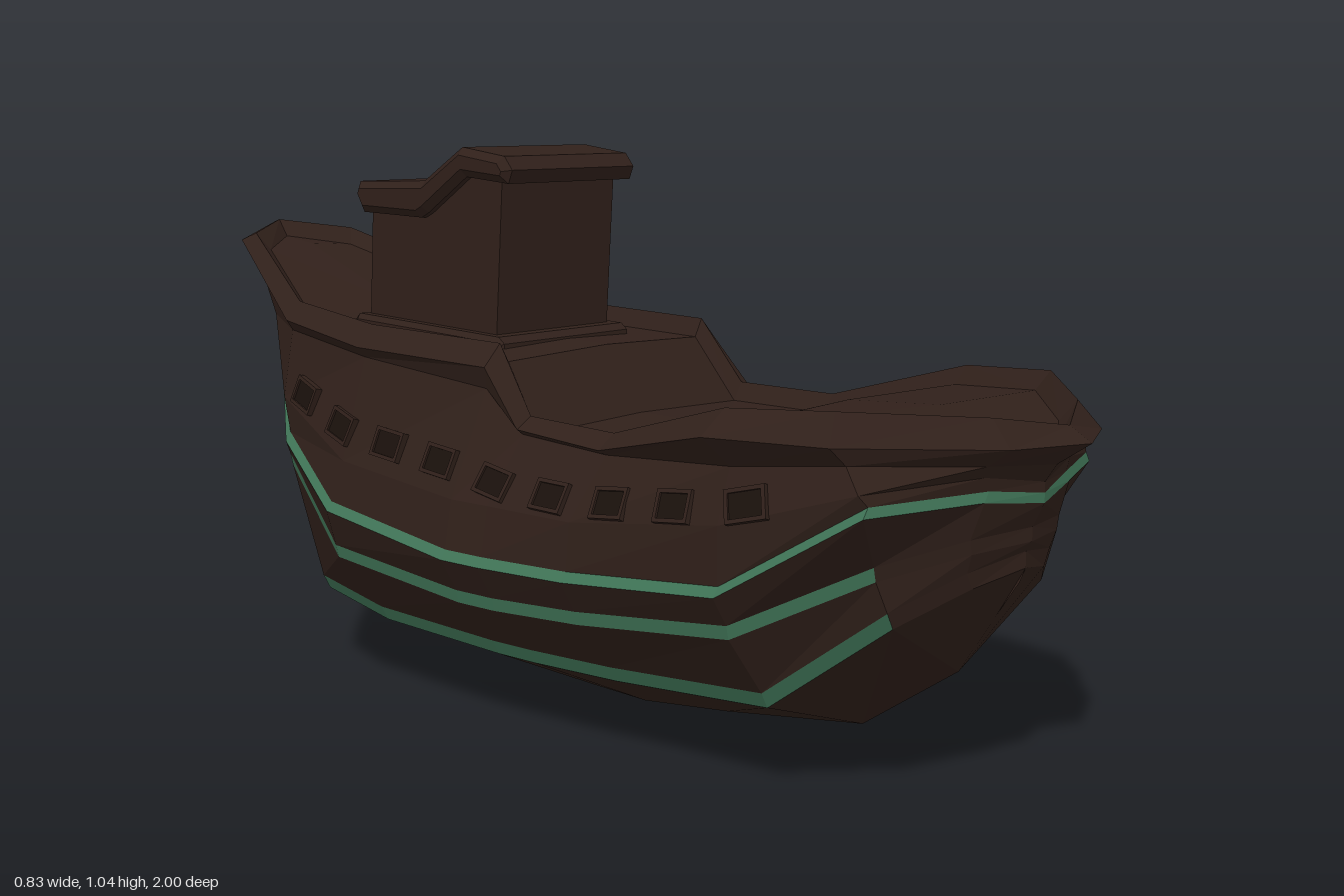
import * as THREE from 'three';

const wood = new THREE.MeshStandardMaterial({ color: 0x30201a, flatShading: true, side: THREE.DoubleSide });
const dark = new THREE.MeshStandardMaterial({ color: 0x1a110c, flatShading: true });
const green = new THREE.MeshStandardMaterial({ color: 0x3f7356, flatShading: true, side: THREE.DoubleSide });

// Long lines of the hull, bow to stern: [z, y, half breadth] at eleven stations
const keel = [[.88, .36, 0], [.84, .3, 0], [.77, .19, 0], [.58, .06, 0], [.28, .02, 0], [.08, 0, 0],
  [-.05, .005, 0], [-.35, .03, 0], [-.59, .07, 0], [-.82, .42, 0], [-.89, .66, 0]];
const chine = [[.89, .385, 0], [.86, .365, .11], [.79, .31, .225], [.58, .15, .27], [.25, .13, .27], [.05, .125, .27],
  [-.04, .125, .27], [-.35, .135, .265], [-.57, .155, .225], [-.73, .37, .13], [-.9, .68, 0]];
const middle = [[.9, .43, 0], [.87, .425, .13], [.78, .39, .26], [.57, .28, .36], [.25, .25, .37], [.05, .24, .37],
  [-.04, .24, .37], [-.38, .27, .36], [-.61, .41, .28], [-.81, .64, .11], [-.91, .71, 0]];
const wale = [[.92, .495, 0], [.89, .51, .13], [.81, .505, .34], [.57, .355, .4], [.25, .33, .41], [.05, .325, .413],
  [-.04, .325, .413], [-.37, .365, .395], [-.58, .465, .32], [-.76, .625, .18], [-.915, .74, 0]];
const belly = [[.92, .53, 0], [.89, .55, .13], [.8, .54, .34], [.57, .47, .39], [.25, .43, .39], [.05, .43, .385],
  [-.04, .43, .385], [-.35, .46, .37], [-.6, .55, .305], [-.79, .69, .17], [-.92, .77, 0]];
const neck = [[.94, .56, 0], [.9, .57, .14], [.77, .58, .33], [.57, .56, .36], [.28, .54, .33], [.07, .55, .315],
  [-.03, .62, .305], [-.35, .65, .31], [-.6, .68, .28], [-.85, .76, .15], [-.93, .79, 0]];
const railOuter = [[1, .6, 0], [.94, .6, .14], [.76, .61, .36], [.55, .61, .41], [.28, .55, .35], [.07, .56, .33],
  [-.02, .66, .32], [-.35, .67, .33], [-.6, .7, .295], [-.93, .835, .145], [-1, .865, 0]];
const railTop = [[.96, .625, 0], [.9, .645, .13], [.74, .66, .32], [.55, .65, .35], [.28, .575, .31], [.07, .58, .295],
  [-.02, .7, .28], [-.35, .71, .29], [-.6, .735, .26], [-.9, .85, .13], [-.985, .87, 0]];

const shift = (line, dy, dx, scale = 1) =>
  line.map(([z, y, x]) => [z * scale, y + dy, x && x + dx]);
const deckEdge = shift(railTop, -.035, -.02, .975);
const deckCentre = deckEdge.map(([z, y, x]) => [z, y + (x ? .008 : 0), 0]);

// Skin between two lines over a range of stations, on both sides of the boat
function strake(name, low, high, material, from = 0, to = 10) {
  const pos = [];
  for (const side of [1, -1]) {
    const put = (...pts) => {
      if (side < 0) pts.reverse();
      pts.forEach(([z, y, x]) => pos.push(side * x, y, z));
    };
    for (let j = from; j < to; j++) {
      put(low[j], low[j + 1], high[j]);
      put(low[j + 1], high[j + 1], high[j]);
    }
  }
  const geo = new THREE.BufferGeometry();
  geo.setAttribute('position', new THREE.Float32BufferAttribute(pos, 3));
  geo.computeVertexNormals();
  const mesh = new THREE.Mesh(geo, material);
  mesh.name = name;
  return mesh;
}

// Solid from a side profile of [z, y] points, centred across the boat
function sideSolid(name, points, width, bevel = 0) {
  const shape = new THREE.Shape(points.map(([z, y]) => new THREE.Vector2(-z, y)));
  const depth = width - 2 * bevel;
  const geo = new THREE.ExtrudeGeometry(shape, {
    depth, bevelEnabled: bevel > 0, bevelSize: bevel, bevelThickness: bevel, bevelOffset: -bevel, bevelSegments: 1,
  });
  geo.translate(0, 0, -depth / 2).rotateY(Math.PI / 2);
  const mesh = new THREE.Mesh(geo, wood);
  mesh.name = name;
  return mesh;
}

// Point on a line at a given z
function pointAt(line, z) {
  let j = 0;
  while (j < line.length - 2 && line[j + 1][0] > z) j++;
  const [a, b] = [line[j], line[j + 1]];
  const t = (z - a[0]) / (b[0] - a[0]);
  return new THREE.Vector3(a[2] + (b[2] - a[2]) * t, a[1] + (b[1] - a[1]) * t, z);
}

function rectangle(PathType, w, h) {
  return new PathType([[-w, -h], [w, -h], [w, h], [-w, h]].map(([x, y]) => new THREE.Vector2(x / 2, y / 2)));
}

// Framed port lying on the upper hull planking
function makePort(z, side) {
  const spot = (at, f) => {
    const p = pointAt(belly, at).lerp(pointAt(neck, at), f);
    p.x *= side;
    return p;
  };
  const along = spot(z - .035 * side, .3).sub(spot(z + .035 * side, .3)).normalize();
  const out = along.clone().cross(spot(z, .8).sub(spot(z, 0))).normalize();
  const up = out.clone().cross(along);
  const port = new THREE.Group();
  port.name = 'port';
  const shape = rectangle(THREE.Shape, .074, .056);
  shape.holes.push(rectangle(THREE.Path, .06, .042));
  const frame = new THREE.Mesh(new THREE.ExtrudeGeometry(shape, { depth: .02, bevelEnabled: false }), wood);
  frame.name = 'portFrame';
  frame.position.z = -.012;
  const pane = new THREE.Mesh(new THREE.BoxGeometry(.062, .044, .012), dark);
  pane.name = 'portOpening';
  pane.position.z = -.002;
  port.add(frame, pane);
  port.quaternion.setFromRotationMatrix(new THREE.Matrix4().makeBasis(along, up, out));
  port.position.copy(spot(z, .28)).addScaledVector(out, .002);
  return port;
}

export function createModel() {
  const boat = new THREE.Group();
  boat.name = 'boat';

  // Hull planking with three painted bands
  const hull = new THREE.Group();
  hull.name = 'hull';
  const chineTop = shift(chine, .028, .016), middleTop = shift(middle, .024, .006), waleTop = shift(wale, .017, -.012);
  hull.add(
    strake('bottom', keel, chine, wood),
    strake('lowerBandBow', chine, chineTop, wood, 0, 2),
    strake('lowerBand', chine, chineTop, green, 2),
    strake('lowerPlanking', chineTop, middle, wood),
    strake('middleBandBow', middle, middleTop, wood, 0, 2),
    strake('middleBand', middle, middleTop, green, 2),
    strake('middlePlanking', middleTop, wale, wood),
    strake('upperBand', wale, waleTop, green, 0, 9),
    strake('upperBandStern', wale, waleTop, wood, 9),
    strake('bellyPlanking', waleTop, belly, wood),
    strake('upperPlanking', belly, neck, wood),
    strake('railUnderside', neck, railOuter, wood),
    strake('railCap', railOuter, railTop, wood),
    strake('bulwarkInside', railTop, deckEdge, wood),
    strake('deck', deckEdge, deckCentre, wood),
  );
  boat.add(hull);

  // Row of ports on each side
  for (const side of [1, -1]) {
    for (let i = 0; i < 9; i++) boat.add(makePort(.615 - i * .1412, side));
  }

  // Cabin with plinth and stepped roof
  const cabin = new THREE.Group();
  cabin.name = 'cabin';
  cabin.add(
    sideSolid('cabinPlinth', [[-.12, .64], [-.12, .68], [-.135, .692], [-.525, .71], [-.54, .695], [-.54, .64]], .36, .01),
    sideSolid('cabinWalls', [[-.14, .985], [-.22, .995], [-.34, .93], [-.5, .93], [-.515, .66], [-.16, .66]], .305),
    sideSolid('cabinRoof', [[-.1, 1], [-.12, 1.025], [-.23, 1.04], [-.25, 1.028], [-.335, .975], [-.52, .97],
      [-.53, .945], [-.51, .91], [-.345, .905], [-.325, .915], [-.22, .985], [-.11, .975]], .36, .014),
  );
  boat.add(cabin);
  return boat;
}
